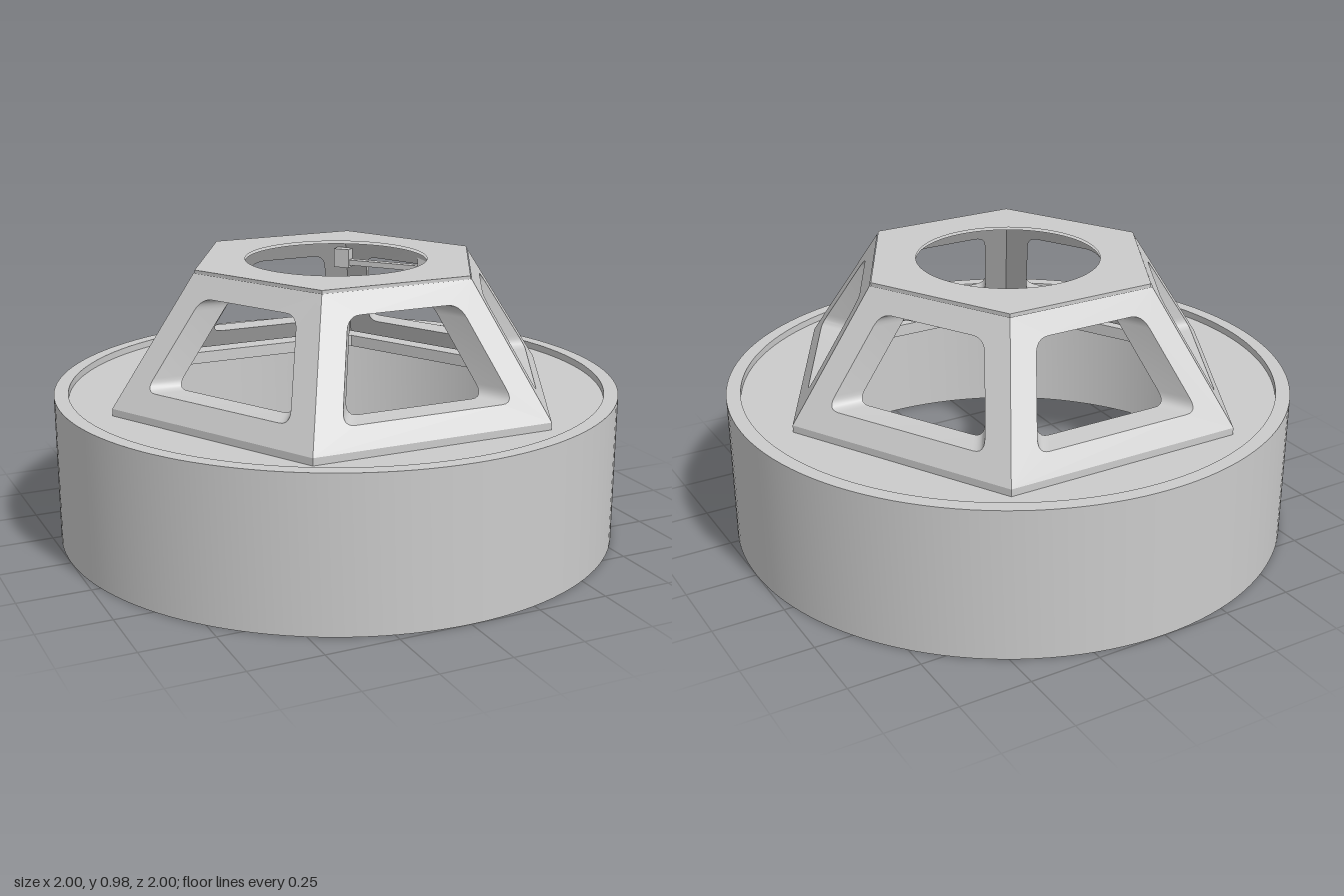
import * as THREE from 'three';
import { toCreasedNormals } from 'three/addons/utils/BufferGeometryUtils.js';

const material = new THREE.MeshStandardMaterial({ color: 0xcccccc });
const BASE_Y = 0.53, TOP_Y = 0.97, WALL = 0.1;

function addMesh(parent, name, geometry) {
  const mesh = new THREE.Mesh(toCreasedNormals(geometry, 0.6), material);
  mesh.name = name;
  parent.add(mesh);
  return mesh;
}

// Six corners of the tapering cage at height y, moved inward by inset
function hexagon(y, inset = 0) {
  const t = (y - BASE_Y) / (TOP_Y - BASE_Y);
  const cx = THREE.MathUtils.lerp(0.428, 0.272, t);
  const cz = THREE.MathUtils.lerp(0.755, 0.48, t);
  const rx = THREE.MathUtils.lerp(0.832, 0.53, t);
  const k = (cz - inset) / cz;
  return [[-cx, cz], [cx, cz], [rx, 0], [cx, -cz], [-cx, -cz], [-rx, 0]]
    .map(([x, z]) => new THREE.Vector2(x * k, z * k));
}

// Horizontal slab from a shape, between two heights
function slab(shape, y0, y1) {
  const g = new THREE.ExtrudeGeometry(shape, { depth: y1 - y0, bevelEnabled: false, curveSegments: 64 });
  return g.rotateX(-Math.PI / 2).translate(0, y0, 0);
}

function circlePath(r) {
  return new THREE.Path().absarc(0, 0, r, 0, Math.PI * 2, true);
}

// Loop on one cage side: a four-sided outline with rounded corners
function sideLoop(side, yLow, yHigh, inset, margin, radius) {
  const place = (s, y) => {
    const hex = hexagon(y, inset);
    const a = hex[side], b = hex[(side + 1) % 6];
    const p = a.clone().add(b).multiplyScalar(0.5).addScaledVector(b.clone().sub(a).normalize(), s);
    return new THREE.Vector3(p.x, y, p.y);
  };
  const half = y => {
    const hex = hexagon(y, inset);
    return hex[side].distanceTo(hex[(side + 1) % 6]) / 2 - margin;
  };
  const lo = half(yLow), hi = half(yHigh);
  const corners = [[-lo, yLow], [lo, yLow], [hi, yHigh], [-hi, yHigh]].map(c => new THREE.Vector2(...c));
  const points = [];
  corners.forEach((c, i) => {
    const toward = other => c.clone().add(other.clone().sub(c).setLength(radius));
    const before = radius ? toward(corners[(i + 3) % 4]) : c;
    const after = radius ? toward(corners[(i + 1) % 4]) : c;
    new THREE.QuadraticBezierCurve(before, c, after).getPoints(6).forEach(p => points.push(place(p.x, p.y)));
  });
  return points;
}

// Skin joining successive closed loops
function skin(loops) {
  const positions = [];
  const n = loops[0].length;
  for (let k = 0; k < loops.length - 1; k++) {
    const A = loops[k], B = loops[k + 1];
    for (let j = 0; j < n; j++) {
      const m = (j + 1) % n;
      for (const tri of [[A[j], A[m], B[m]], [A[j], B[m], B[j]]]) {
        const [p, q, r] = tri;
        if (p.distanceTo(q) < 1e-6 || q.distanceTo(r) < 1e-6 || r.distanceTo(p) < 1e-6) continue;
        tri.forEach(v => positions.push(v.x, v.y, v.z));
      }
    }
  }
  const g = new THREE.BufferGeometry();
  g.setAttribute('position', new THREE.Float32BufferAttribute(positions, 3));
  g.computeVertexNormals();
  return g;
}

export function createModel() {
  const model = new THREE.Group();
  model.name = 'housing';

  // Round outer wall
  const profile = [[0.95, 0], [1, 0], [1, 0.53], [0.95, 0.53], [0.95, 0]].map(p => new THREE.Vector2(...p));
  addMesh(model, 'outerRing', new THREE.LatheGeometry(profile, 128));

  // Recessed deck with a hexagonal opening
  const deck = new THREE.Shape().absarc(0, 0, 0.955, 0, Math.PI * 2, false);
  deck.holes.push(new THREE.Path(hexagon(BASE_Y, WALL - 0.02)));
  addMesh(model, 'deck', slab(deck, 0.46, 0.505));

  // Hexagonal foot of the cage
  const foot = new THREE.Shape(hexagon(BASE_Y));
  foot.holes.push(new THREE.Path(hexagon(BASE_Y, WALL)));
  addMesh(model, 'cageFoot', slab(foot, 0.465, BASE_Y));

  // Six sloping sides, each with a rounded window
  const cage = new THREE.Group();
  cage.name = 'cage';
  model.add(cage);
  for (let i = 0; i < 6; i++) {
    addMesh(cage, 'cageSide' + (i + 1), skin([
      sideLoop(i, BASE_Y, TOP_Y, 0, 0, 0),
      sideLoop(i, 0.6, 0.9, 0, 0.095, 0.045),
      sideLoop(i, 0.6, 0.9, WALL, 0.095, 0.045),
      sideLoop(i, BASE_Y, TOP_Y, WALL, 0, 0),
    ]));
  }

  // Top plate and its thin raised face, both with a round hole
  const plate = new THREE.Shape(hexagon(TOP_Y, 0.03));
  plate.holes.push(circlePath(0.32));
  addMesh(model, 'topPlate', slab(plate, 0.93, TOP_Y));
  const face = new THREE.Shape(hexagon(TOP_Y, 0.004));
  face.holes.push(circlePath(0.32));
  addMesh(model, 'topFace', slab(face, TOP_Y - 0.002, 0.98));

  // Small rail with end blocks under the top plate
  const rail = new THREE.Group();
  rail.name = 'innerRail';
  rail.position.set(0.31, 0.885, -0.235);
  rail.rotation.y = -Math.atan2(0.29, 0.25);
  model.add(rail);
  addMesh(rail, 'railBar', new THREE.BoxGeometry(0.38, 0.02, 0.03));
  for (const s of [-1, 1]) {
    addMesh(rail, 'railBlock', new THREE.BoxGeometry(0.06, 0.07, 0.04)).position.set(s * 0.17, 0.015, 0);
  }
  return model;
}
